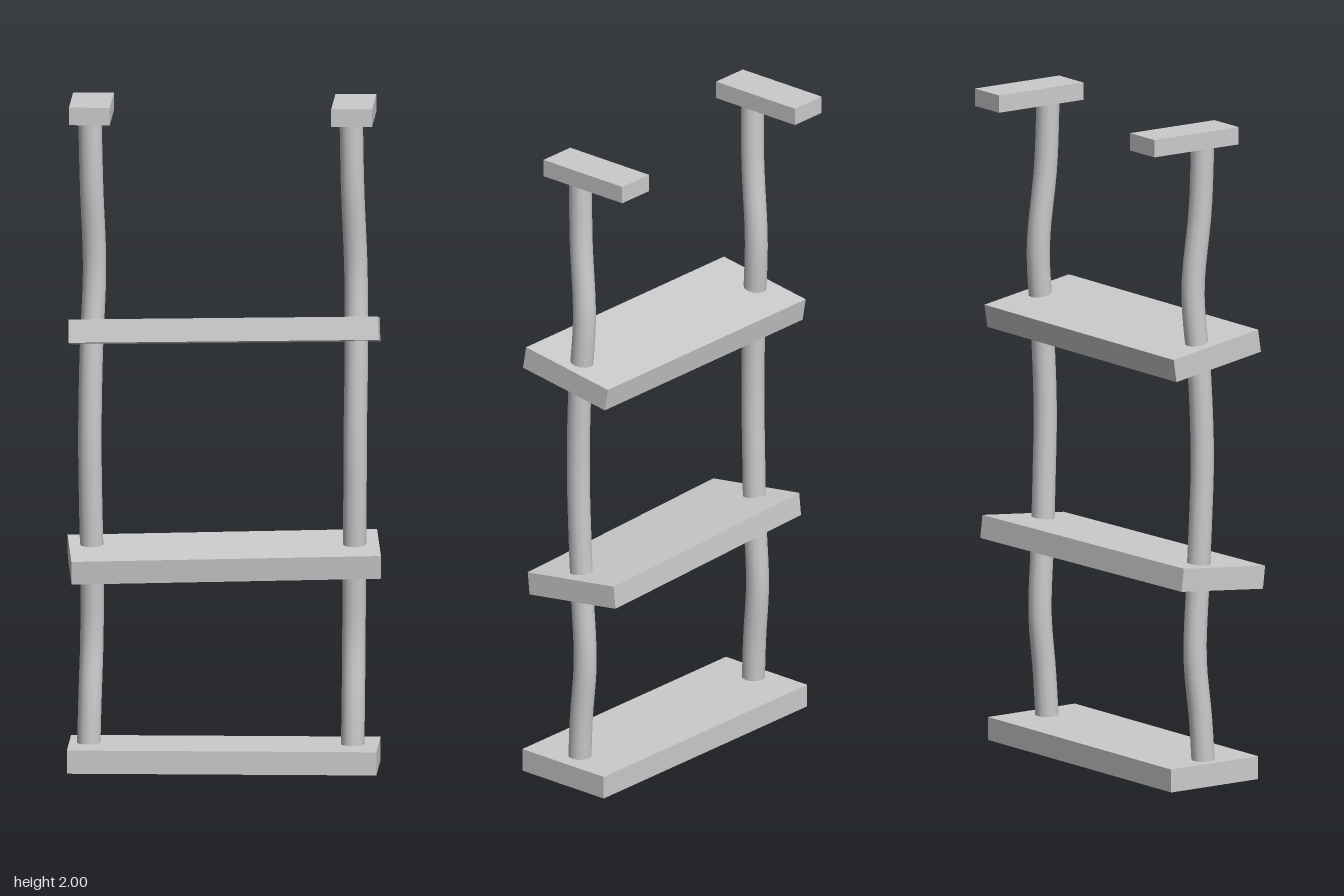
import * as THREE from 'three';

export function createModel() {
  const model = new THREE.Group();
  const material = new THREE.MeshStandardMaterial({ color: 0xcccccc });

  function addBox(name, size, position, rotation = [0, 0, 0]) {
    const mesh = new THREE.Mesh(new THREE.BoxGeometry(...size), material);
    mesh.name = name;
    mesh.position.set(...position);
    mesh.rotation.set(...rotation);
    model.add(mesh);
  }

  // Plank rungs: the lowest lies flat, the upper two hang crooked
  const plank = [0.925, 0.07, 0.322];
  addBox('bottomRung', plank, [-0.002, 0.035, 0.01]);
  addBox('middleRung', plank, [0, 0.634, 0.01], [0.11, 0.076, 0.006]);
  addBox('topRung', plank, [0, 1.317, 0.01], [-0.16, 0.022, 0.016]);

  // Mounting blocks at the top of each rope
  addBox('rightMountingBlock', [0.122, 0.053, 0.312], [-0.4, 1.9735, -0.055]);
  addBox('leftMountingBlock', [0.122, 0.053, 0.312], [0.384, 1.9735, -0.055]);

  // Wavy ropes through the rungs: [y, right x, left x, z]
  const ropePath = [
    [0.04, -0.406, 0.383, 0.012],
    [0.2, -0.402, 0.385, 0.003],
    [0.38, -0.397, 0.386, -0.013],
    [0.6, -0.396, 0.388, -0.003],
    [0.8, -0.4, 0.39, 0.005],
    [1.0, -0.402, 0.391, 0.01],
    [1.25, -0.398, 0.394, 0.002],
    [1.5, -0.389, 0.392, -0.015],
    [1.75, -0.397, 0.383, 0.006],
    [1.97, -0.402, 0.379, 0.012],
  ];
  ['rightRope', 'leftRope'].forEach((name, side) => {
    const points = ropePath.map((p) => new THREE.Vector3(p[1 + side], p[0], p[3]));
    const curve = new THREE.CatmullRomCurve3(points);
    const rope = new THREE.Mesh(new THREE.TubeGeometry(curve, 40, 0.035, 12), material);
    rope.name = name;
    model.add(rope);
  });

  return model;
}
